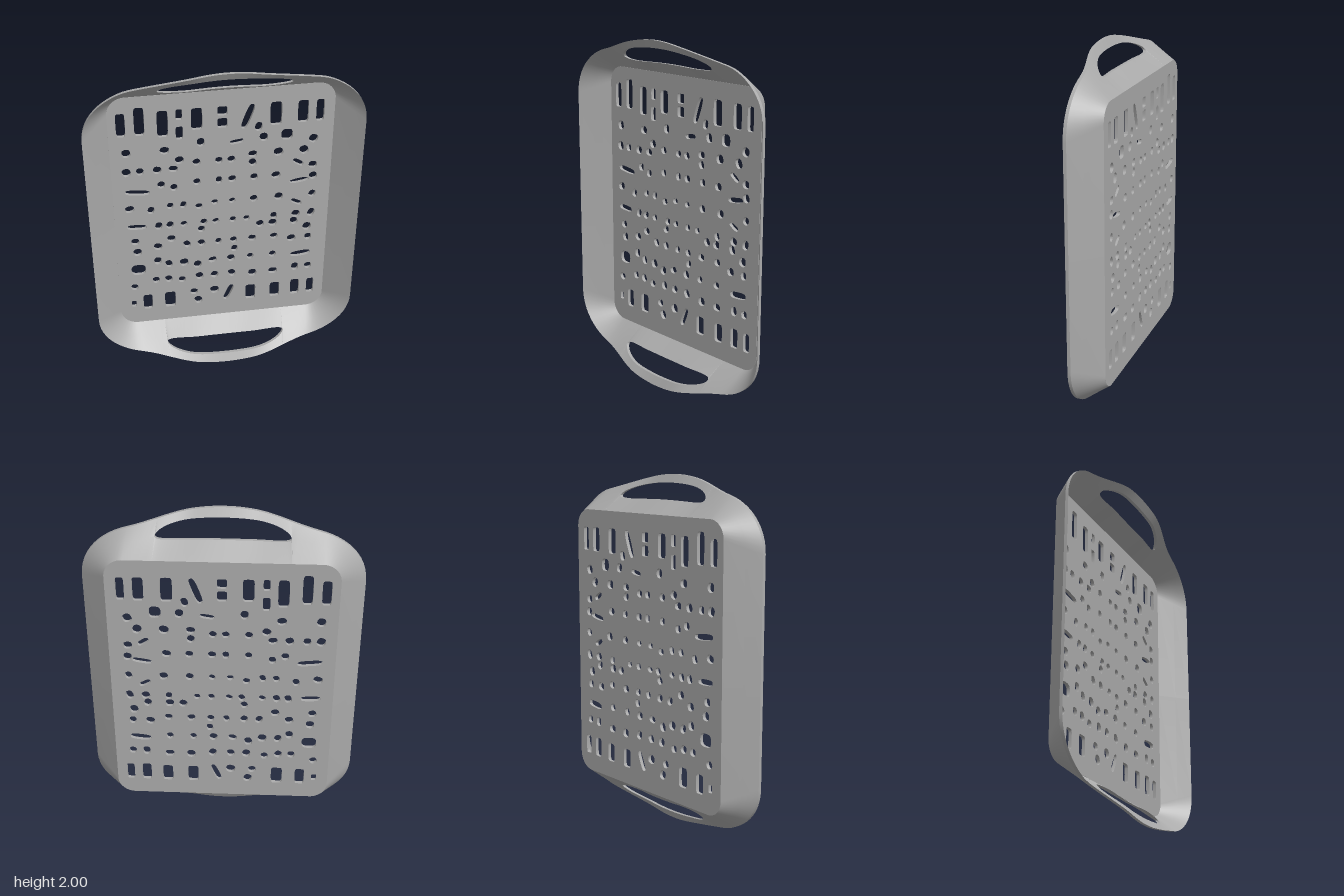
import * as THREE from 'three';
import { toCreasedNormals } from 'three/addons/utils/BufferGeometryUtils.js';

const BACK = -0.118, FLOOR_T = 0.02, SKIN = 0.018;
const FLOOR = { w: 0.62, h: 0.79, r: 0.1 };   // half sizes of the floor
const RIM = { w: 0.76, h: 0.88, r: 0.26 };    // half sizes of the rim
const SLOT = 0.35;                            // half width of the handle slot

const lerp = (a, b, t) => a + (b - a) * t;

// One column of the wall: floor edge, slot lower edge, slot upper edge, rim
function column(ax, ay, dx, dy) {
  const bulge = 0.12 * (0.5 + 0.5 * Math.cos(Math.PI * Math.min(1, dx / 0.72)));
  const lift = dy > 0.6 ? 1 - THREE.MathUtils.smoothstep(dx, 0.15, 0.55) : 0;
  const top = dy > RIM.h - 0.26 ? bulge : 0;
  const A = [ax, ay, BACK];
  const D = [dx, dy + top, 0.024 + 0.068 * lift];
  const M = A.map((a, i) => lerp(a, D[i], 0.55));
  M[2] += 0.03 * lift;
  const s = dy > 0.6 && dx < SLOT ? dx / SLOT : 1;
  const down = 0.042 * Math.sqrt(1 - s ** 2), up = 0.048 * Math.sqrt(1 - s ** 4);
  return [A, [M[0], M[1] - down, M[2] - down * 0.9], [M[0], M[1] + up, M[2] + up * 0.8], D];
}

// Columns all round the tray, from one mirrored quarter
function columns() {
  const q = [column(FLOOR.w, 0, RIM.w, 0)];
  for (let i = 0; i <= 12; i++) {
    const a = (i / 12) * Math.PI / 2, c = Math.cos(a), s = Math.sin(a);
    q.push(column(FLOOR.w - FLOOR.r * (1 - c), FLOOR.h - FLOOR.r * (1 - s),
      RIM.w - RIM.r * (1 - c), RIM.h - RIM.r * (1 - s)));
  }
  const xs = [0.46, 0.42, 0.38];
  for (let i = 18; i >= 0; i--) xs.push(SLOT * Math.sin((i / 18) * Math.PI / 2));
  xs.forEach(x => q.push(column(x * 1.04, FLOOR.h, x, RIM.h)));
  const flip = (list, sx, sy) => list.map(col => col.map(([x, y, z]) => [x * sx, y * sy, z]));
  const rev = [...q].reverse();
  return [...q, ...flip(rev.slice(1), -1, 1), ...flip(q.slice(1), -1, -1), ...flip(rev.slice(1, -1), 1, -1)];
}

// Closed thin bands: floor edge to slot, and slot to rim
function wallGeometry() {
  const cols = columns(), pos = [];
  for (const [lo, hi] of [[0, 1], [2, 3]]) {
    const sections = cols.map(c => {
      const front = p => [p[0], p[1], p[2] + SKIN];
      return [c[lo], c[hi], front(c[hi]), front(c[lo])];
    });
    sections.forEach((p, j) => {
      const n = sections[(j + 1) % sections.length];
      for (let s = 0; s < 4; s++) {
        const t = (s + 1) % 4;
        pos.push(...p[s], ...n[s], ...n[t], ...p[s], ...n[t], ...p[t]);
      }
    });
  }
  const g = new THREE.BufferGeometry();
  g.setAttribute('position', new THREE.Float32BufferAttribute(pos, 3));
  return toCreasedNormals(g, 0.5);
}

// Small seeded generator for the uneven hole sizes
let seed = 7;
const rand = () => (seed = (seed * 16807) % 2147483647) / 2147483647;

// Rounded hole: power 2 is an ellipse, larger is squarer
function hole(x, y, w, h, power = 2.5, turn = 0) {
  const pts = [], c = Math.cos(turn), s = Math.sin(turn);
  for (let i = 0; i < 20; i++) {
    const a = -(i / 20) * Math.PI * 2;
    const f = v => Math.sign(v) * Math.abs(v) ** (2 / power);
    const u = f(Math.cos(a)) * w / 2, v = f(Math.sin(a)) * h / 2;
    pts.push(new THREE.Vector2(x + u * c - v * s, y - 1 + u * s + v * c));
  }
  return new THREE.Path(pts);
}

// Tall openings along the top and bottom: x, y, width, height
const topSlots = [
  [-0.55, 1.62, 0.05, 0.145], [-0.45, 1.635, 0.055, 0.175], [-0.325, 1.61, 0.06, 0.165],
  [-0.235, 1.66, 0.036, 0.065], [-0.235, 1.545, 0.04, 0.08], [-0.14, 1.625, 0.062, 0.135],
  [0, 1.662, 0.054, 0.056], [0, 1.587, 0.054, 0.06], [0.295, 1.62, 0.065, 0.145],
  [0.445, 1.62, 0.06, 0.14], [0.54, 1.62, 0.045, 0.135],
];
const bottomSlots = [
  [-0.54, 0.36, 0.03, 0.045], [-0.455, 0.365, 0.055, 0.11], [-0.32, 0.368, 0.065, 0.115],
  [0.17, 0.365, 0.062, 0.11], [0.32, 0.365, 0.06, 0.11], [0.445, 0.37, 0.055, 0.115],
  [0.54, 0.37, 0.045, 0.11],
];
// Long or slanted openings: x, y, width, height, turn
const longHoles = [
  [0.14, 1.615, 0.04, 0.16, -0.35], [0.035, 0.38, 0.035, 0.12, -0.4], [0.08, 1.46, 0.08, 0.028, 0.15],
  [-0.48, 1.175, 0.14, 0.035, -0.1], [0.44, 1.165, 0.11, 0.03, 0.15], [-0.495, 0.935, 0.11, 0.034, -0.05],
  [0.43, 1.29, 0.07, 0.03, -0.6], [0.47, 0.63, 0.12, 0.04, 0.1], [-0.5, 0.62, 0.085, 0.075, 0],
  [0.43, 1.015, 0.07, 0.03, -0.5], [0.36, 1.48, 0.065, 0.07, 0],
];
// Rows of small holes: y, then each x
const rows = [
  [1.545, 0.2], [1.475, -0.12, 0.23], [1.44, -0.53, -0.32, 0.51],
  [1.37, -0.24, 0.17, 0.315, 0.46], [1.347, -0.145, -0.02, 0.05],
  [1.315, -0.535, -0.46, -0.365, -0.275, 0.17], [1.265, 0.515],
  [1.215, -0.345, -0.145, -0.02, 0.055, 0.18, 0.305], [1.19, -0.275, 0.52],
  [1.065, -0.53, -0.3, -0.225, -0.045, 0.055, 0.18, 0.325, 0.52], [1.045, -0.41, -0.135],
  [0.93, -0.37, -0.305, -0.225, -0.11, -0.04, 0.06, 0.14, 0.3, 0.43, 0.52],
  [0.88, -0.125, 0.22, 0.295, 0.42], [0.83, -0.51, -0.3, 0.5],
  [0.78, -0.38, -0.21, -0.125, -0.025, 0.065, 0.175, 0.305],
  [0.752, -0.5, 0.41, 0.51], [0.715, 0.07], [0.675, -0.385],
  [0.645, -0.32, -0.23, -0.06, 0.05, 0.165, 0.3], [0.62, -0.15],
  [0.53, -0.4, -0.325, -0.14, -0.05, 0.055, 0.44, 0.52], [0.515, -0.245, 0.18, 0.305],
  [0.49, -0.53], [0.41, -0.175, -0.05], [0.342, -0.15],
];

function floorGeometry() {
  const { w, h, r } = FLOOR, shape = new THREE.Shape();
  [[1, 1, 0], [-1, 1, 1], [-1, -1, 2], [1, -1, 3]].forEach(([sx, sy, k]) =>
    shape.absarc(sx * (w - r), sy * (h - r), r, k * Math.PI / 2, (k + 1) * Math.PI / 2, false));
  shape.closePath();
  [...topSlots, ...bottomSlots].forEach(s => shape.holes.push(hole(...s, 6)));
  longHoles.forEach(([x, y, a, b, t]) => shape.holes.push(hole(x, y, a, b, 3, t)));
  // Holes shrink toward the middle of the floor
  rows.forEach(([y, ...xs]) => xs.forEach(x => {
    const size = 0.034 + 0.014 * Math.min(1, Math.hypot(x, y - 1) / 0.5);
    shape.holes.push(hole(x, y, size * (0.85 + 0.3 * rand()), size * (0.9 + 0.3 * rand()), 2.5, rand() - 0.5));
  }));
  const g = new THREE.ExtrudeGeometry(shape, { depth: FLOOR_T, bevelEnabled: false, curveSegments: 12 });
  g.translate(0, 0, BACK);
  return toCreasedNormals(g, 0.5);
}

export function createModel() {
  seed = 7;
  const grey = new THREE.MeshStandardMaterial({ color: 0xaaaaaa });
  grey.name = 'grey';
  const group = new THREE.Group();
  group.name = 'basketTray';
  const parts = { perforatedFloor: floorGeometry(), wallAndHandles: wallGeometry() };
  for (const [name, geometry] of Object.entries(parts)) {
    const mesh = new THREE.Mesh(geometry, grey);
    mesh.name = name;
    mesh.position.y = 1;
    group.add(mesh);
  }
  return group;
}
